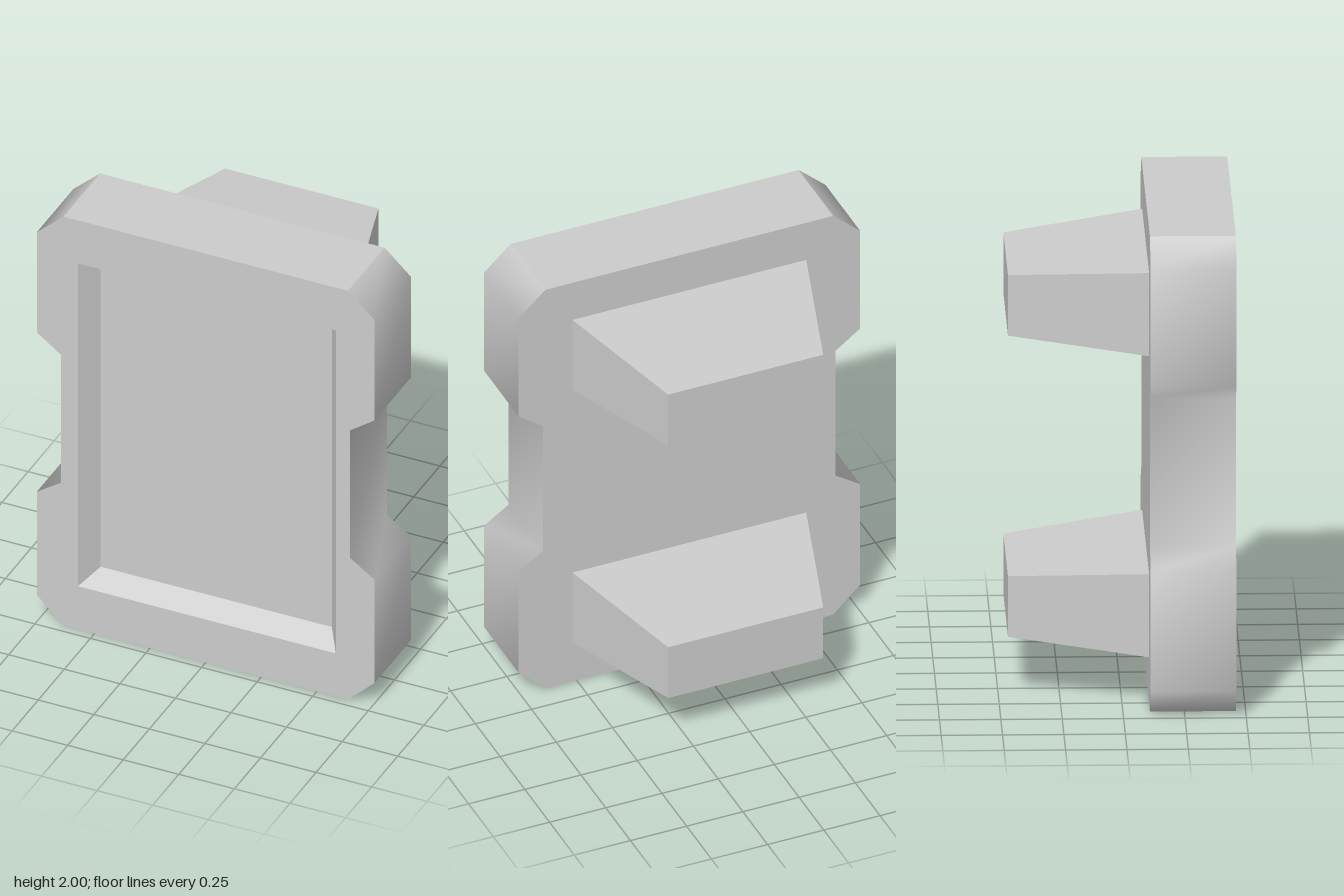
import * as THREE from 'three';
import { mergeGeometries } from 'three/addons/utils/BufferGeometryUtils.js';

const FRONT = 0.46, BACK = 0.11;

// Wall along a counter-clockwise path, smooth along its length
function wall(path) {
  const pos = [], index = [];
  path.forEach(([x, y], i) => {
    pos.push(x, y, FRONT, x, y, BACK);
    if (i) {
      const a = 2 * i - 2;
      index.push(a, a + 1, a + 3, a, a + 3, a + 2);
    }
  });
  const g = new THREE.BufferGeometry();
  g.setAttribute('position', new THREE.Float32BufferAttribute(pos, 3));
  g.setIndex(index);
  g.computeVertexNormals();
  return g;
}

// Tapered box open at its +z end; each end is [x0, x1, y0, y1, z]
function taper(near, far, inward = false) {
  const g = new THREE.BoxGeometry(1, 1, 1);
  const p = g.attributes.position;
  for (let i = 0; i < p.count; i++) {
    const e = p.getZ(i) > 0 ? near : far;
    p.setXYZ(i, e[p.getX(i) > 0 ? 1 : 0], e[p.getY(i) > 0 ? 3 : 2], e[4]);
  }
  const index = Array.from(g.index.array);
  index.splice(24, 6); // drop the +z face
  g.setIndex(inward ? index.reverse() : index);
  g.clearGroups();
  g.computeVertexNormals();
  return g;
}

export function createModel() {
  const model = new THREE.Group();
  const material = new THREE.MeshStandardMaterial({ color: 0xcccccc });
  const add = (name, geometry) => {
    const mesh = new THREE.Mesh(geometry, material);
    mesh.name = name;
    model.add(mesh);
  };

  // Plate outline: chamfered corners and a notch in each side
  const right = [[0.64, 0], [0.76, 0.115], [0.76, 0.62], [0.65, 0.695],
    [0.65, 1.32], [0.76, 1.4], [0.76, 1.89], [0.64, 2]];
  const left = right.map(([x, y]) => [-x, y]).reverse();
  const outline = () => new THREE.Shape([...right, ...left].map(([x, y]) => new THREE.Vector2(x, y)));

  // Recess mouth and floor
  const mouth = [-0.575, 0.585, 0.21, 1.79, FRONT];
  const floor = [-0.515, 0.525, 0.268, 1.735, FRONT - 0.09];

  const face = outline();
  const [x0, x1, y0, y1] = mouth;
  face.holes.push(new THREE.Path([[x0, y0], [x0, y1], [x1, y1], [x1, y0]].map(([x, y]) => new THREE.Vector2(x, y))));

  add('frontFrame', new THREE.ShapeGeometry(face).translate(0, 0, FRONT));
  add('backPanel', new THREE.ShapeGeometry(outline()).rotateY(Math.PI).translate(0, 0, BACK));
  add('plateEdge', mergeGeometries([
    wall(right),
    wall(left),
    wall([right[7], left[0]]),
    wall([left[7], right[0]]),
  ]));
  add('recess', taper(mouth, floor, true));

  // Two tapered prongs on the back
  for (const [name, y] of [['lowerProng', 0], ['upperProng', 1.267]]) {
    add(name, taper(
      [-0.52, 0.52, y + 0.197, y + 0.547, BACK],
      [-0.345, 0.345, y + 0.242, y + 0.497, -0.46],
    ));
  }
  return model;
}
